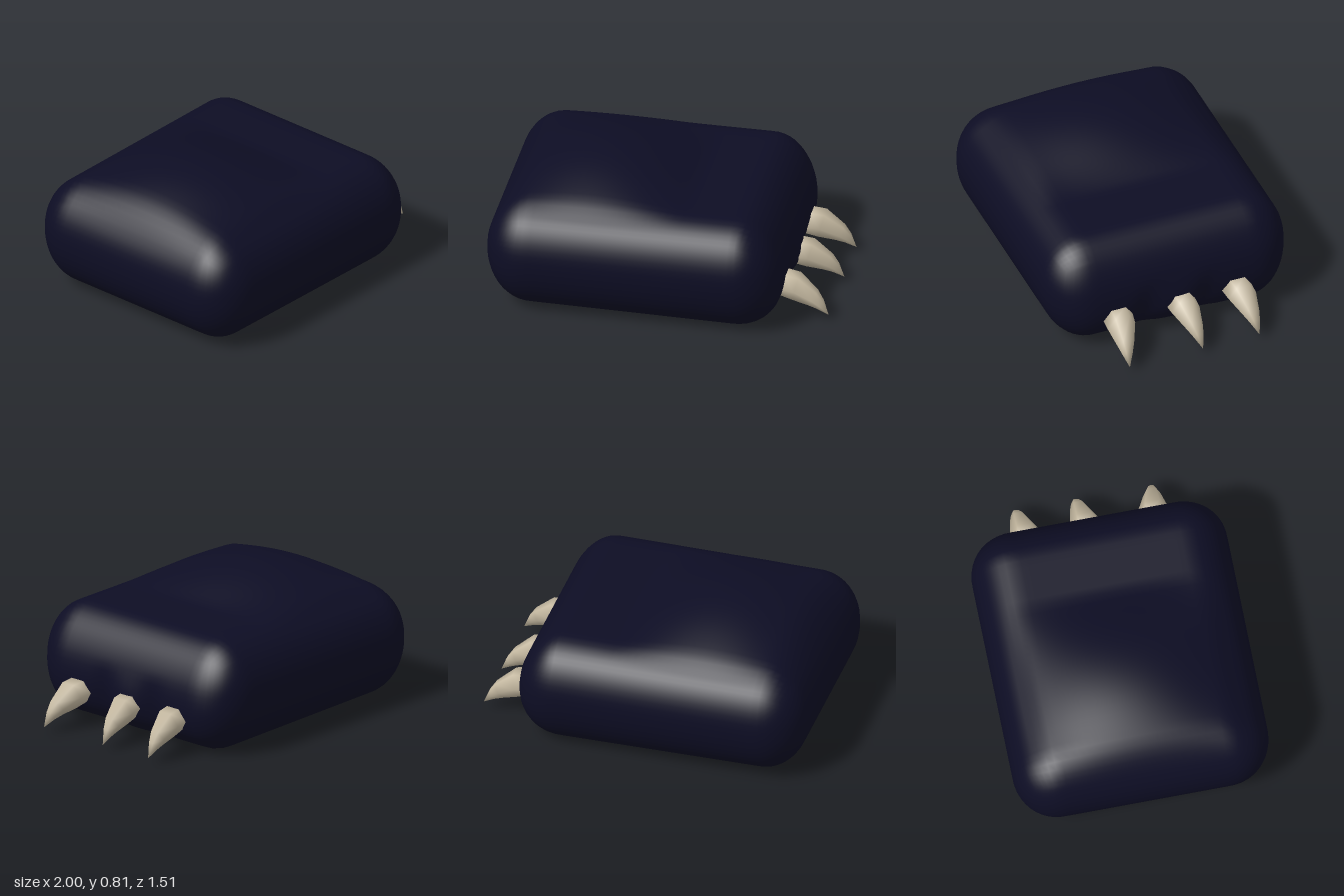
import * as THREE from 'three';
import { mergeVertices } from 'three/addons/utils/BufferGeometryUtils.js';

const clamp = THREE.MathUtils.clamp;
const fur = new THREE.MeshStandardMaterial({ color: 0x0d0d24 });
fur.name = 'darkFur';
const horn = new THREE.MeshStandardMaterial({ color: 0xc4b8a0 });
horn.name = 'clawHorn';

// Falls smoothly from 1 at t = 0 to 0 at |t| = 1
const dome = (t, power) => Math.pow(Math.max(0, 1 - t * t), power);
const bell = (t) => Math.exp(-t * t);

// Rounded block with a hump on top and soft toes along the +x end
function pawGeometry() {
  let geo = new THREE.BoxGeometry(1.75, 0.675, 1.51, 36, 16, 32);
  geo.translate(-0.125, 0.3375, 0);
  geo.deleteAttribute('uv');
  geo.deleteAttribute('normal');
  geo = mergeVertices(geo);
  const pos = geo.attributes.position;
  const p = new THREE.Vector3(), core = new THREE.Vector3(), d = new THREE.Vector3();
  const radius = new THREE.Vector3();
  for (let i = 0; i < pos.count; i++) {
    p.fromBufferAttribute(pos, i);
    // round the edges
    core.set(clamp(p.x, -0.74, 0.48), clamp(p.y, 0.35, 0.37), clamp(p.z, -0.495, 0.495));
    radius.set(p.x > 0 ? 0.27 : 0.26, p.y > 0.36 ? 0.305 : 0.35, 0.26);
    d.copy(p).sub(core).divide(radius).normalize().multiply(radius);
    p.copy(core).add(d);
    // hump
    const dx = p.x + 0.4;
    const hump = dome(dx / (dx > 0 ? 0.57 : 0.56), 1.3) * dome(p.z / 0.61, 1.15);
    p.y += 0.136 * hump * clamp((p.y - 0.36) / 0.28, 0, 1);
    // sole rises slightly towards the back
    p.y += 0.014 * (0.5 - p.x) * clamp((0.36 - p.y) / 0.36, 0, 1);
    // sloping toe end with a middle toe and notches between toes
    const end = clamp((p.x - 0.48) / 0.25, 0, 1);
    const low = clamp((0.4 - p.y) / 0.2, 0, 1);
    const notch = bell((Math.abs(p.z) - 0.19) / 0.07);
    p.x += end * (0.12 * (0.3 - p.y) + low * (0.025 * bell(p.z / 0.12) - 0.03 * notch));
    if (p.x > 0.3) p.y = Math.max(p.y, 0);
    pos.setXYZ(i, p.x, p.y, p.z);
  }
  geo.computeVertexNormals();
  return geo;
}

// Curved six-sided claw; rings are [x, y, half height, half width, lean, share of sideways drift]
function clawGeometry(drift) {
  const rings = [
    [0.725, 0.212, 0.078, 0.093, 0.01, 0],
    [0.805, 0.196, 0.083, 0.086, 0.02, 0.2],
    [0.905, 0.138, 0.048, 0.052, 0.028, 0.6],
    [0.95, 0.1, 0.027, 0.031, 0.02, 0.8],
  ];
  const sides = 6, verts = [], index = [];
  for (const [x, y, h, w, lean, k] of rings) {
    for (let j = 0; j < sides; j++) {
      const a = (j / sides) * Math.PI * 2;
      verts.push(x + Math.sin(a) * lean, y + Math.sin(a) * h, Math.cos(a) * w + drift * k);
    }
  }
  const tip = verts.length / 3;
  verts.push(1, 0.04, drift);
  const base = tip + 1;
  verts.push(0.72, 0.212, 0);
  for (let j = 0; j < sides; j++) {
    const n = (j + 1) % sides;
    for (let r = 0; r < rings.length - 1; r++) {
      const a = r * sides + j, b = r * sides + n;
      index.push(a, a + sides, b, b, a + sides, b + sides);
    }
    const last = (rings.length - 1) * sides;
    index.push(last + j, tip, last + n, base, j, n);
  }
  const geo = new THREE.BufferGeometry();
  geo.setAttribute('position', new THREE.Float32BufferAttribute(verts, 3));
  geo.setIndex(index);
  geo.computeVertexNormals();
  return geo;
}

export function createModel() {
  const group = new THREE.Group();
  group.name = 'clawedPaw';

  const paw = new THREE.Mesh(pawGeometry(), fur);
  paw.name = 'paw';
  group.add(paw);

  // claws: [name, centre z, sideways drift of the tip]
  const claws = [['rightClaw', 0.37, 0.035], ['middleClaw', -0.02, -0.035], ['leftClaw', -0.375, -0.035]];
  for (const [name, z, drift] of claws) {
    const claw = new THREE.Mesh(clawGeometry(drift), horn);
    claw.name = name;
    claw.position.z = z;
    group.add(claw);
  }
  return group;
}
